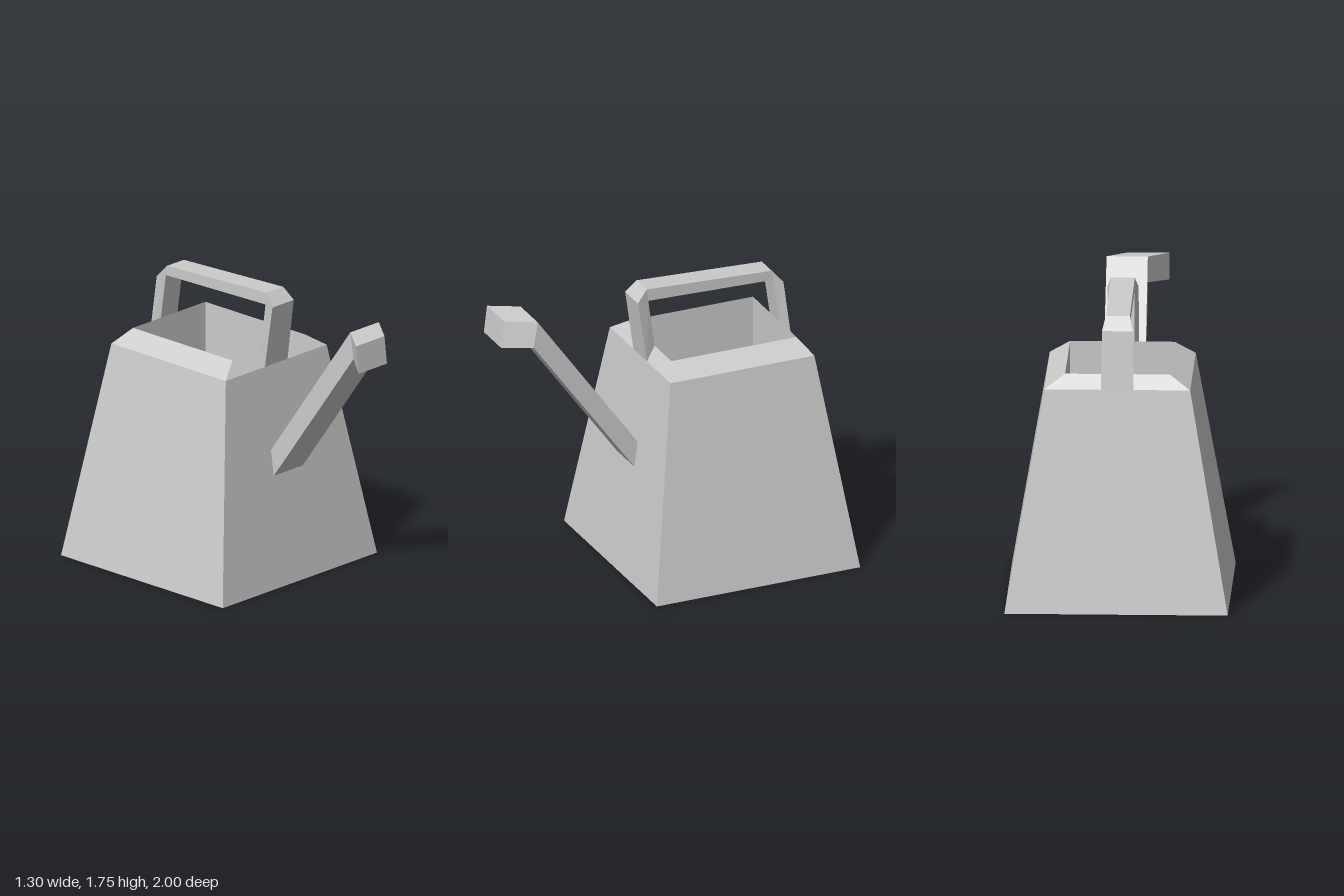
import * as THREE from 'three';

// Joins four-cornered sections into a closed, flat-shaded solid.
function loft(name, sections, material) {
  const pos = [];
  const tri = (a, b, c) => pos.push(...a, ...b, ...c);
  const quad = (a, b, c, d) => { tri(a, b, c); tri(a, c, d); };
  for (let i = 0; i < sections.length - 1; i++) {
    const lo = sections[i], hi = sections[i + 1];
    for (let j = 0; j < 4; j++) {
      const k = (j + 1) % 4;
      quad(lo[j], lo[k], hi[k], hi[j]);
    }
  }
  const first = sections[0], last = sections[sections.length - 1];
  quad(first[3], first[2], first[1], first[0]);
  quad(last[0], last[1], last[2], last[3]);
  const geometry = new THREE.BufferGeometry();
  geometry.setAttribute('position', new THREE.Float32BufferAttribute(pos, 3));
  geometry.computeVertexNormals();
  const mesh = new THREE.Mesh(geometry, material);
  mesh.name = name;
  return mesh;
}

export function createModel() {
  const group = new THREE.Group();
  group.name = 'wateringCan';
  const material = new THREE.MeshStandardMaterial({ color: 0xcccccc, flatShading: true });

  // Body: tapered walls, sloping rim, then straight inner walls down to a floor
  const level = (y, w, front, back) =>
    [[w, y, front], [w, y, back], [-w, y, back], [-w, y, front]];
  group.add(loft('body', [
    level(0, 0.65, 0.3, -1),
    level(1.3, 0.425, 0.11, -0.81),
    level(1.38, 0.305, 0.05, -0.75),
    level(0.1, 0.305, 0.05, -0.75),
  ], material));

  // Handle: outer z, y, half width, then inner z, y; legs are wider outside
  const handleSections = [
    [0.11, 1.3, 0.095, 0.05, 1.38],
    [0.165, 1.68, 0.09, 0.09, 1.675],
    [0.1, 1.75, 0.07, 0.09, 1.675],
    [-0.7, 1.715, 0.07, -0.71, 1.655],
    [-0.765, 1.64, 0.09, -0.71, 1.655],
    [-0.81, 1.3, 0.095, -0.75, 1.38],
  ].map(([zo, yo, w, zi, yi]) =>
    [[w, yo, zo], [0.07, yi, zi], [-0.07, yi, zi], [-w, yo, zo]]);
  group.add(loft('handle', handleSections, material));

  // Spout: slanted square tube with a tip bent to the right
  const spoutSections = [
    [-0.12, 0.125, 0.655, 0.204, 0.81, 0.182],
    [-0.12, 0.12, 1.54, 0.845, 1.7, 0.82],
    [-0.24, 0, 1.52, 1, 1.685, 0.98],
  ].map(([x0, x1, yb, zb, yt, zt]) =>
    [[x1, yb, zb], [x1, yt, zt], [x0, yt, zt], [x0, yb, zb]]);
  group.add(loft('spout', spoutSections, material));

  return group;
}
